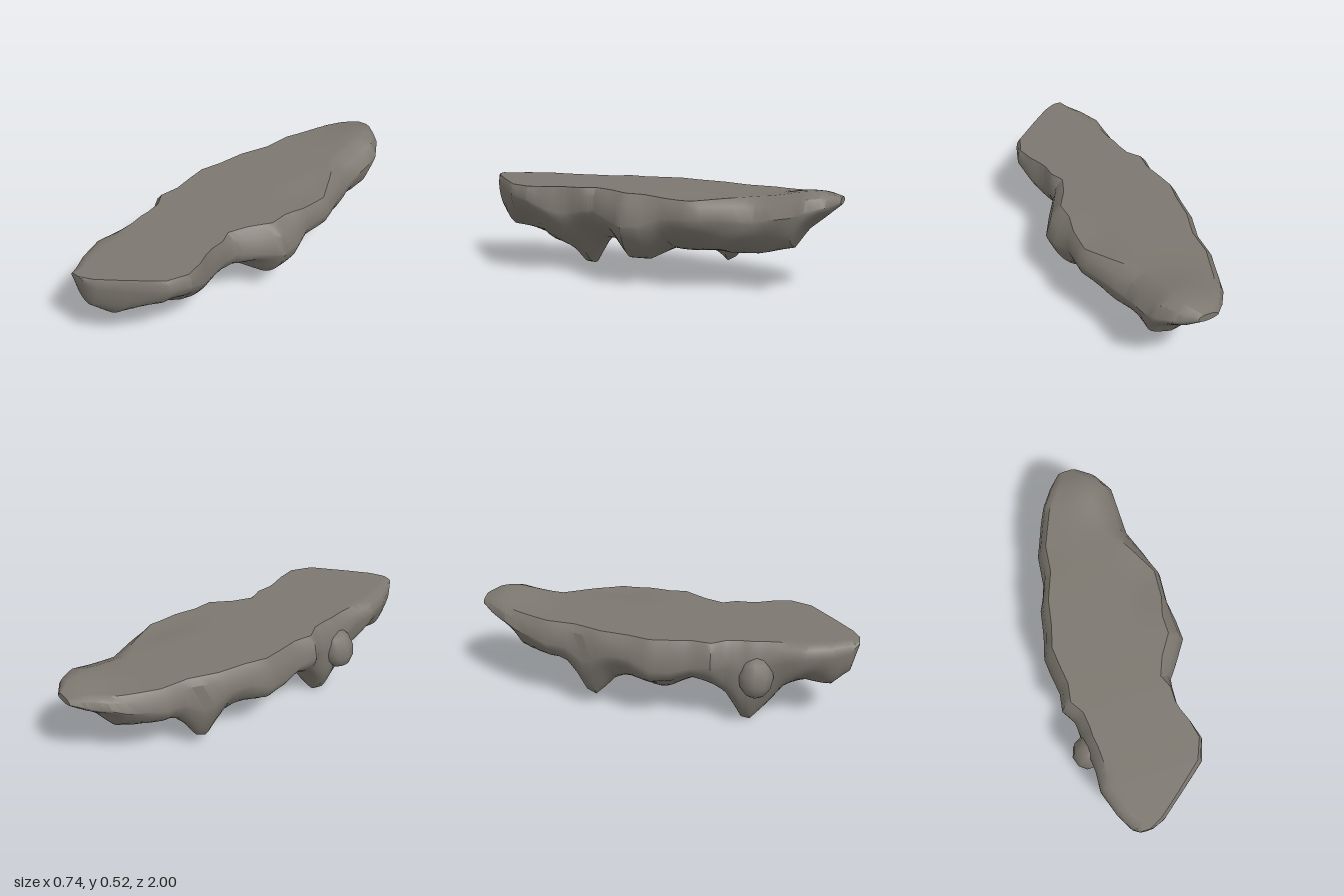
import * as THREE from 'three';
import { toCreasedNormals } from 'three/addons/utils/BufferGeometryUtils.js';

const TOP = 0.49;

// Stations along the rock: z, widest left x, plateau right x, widest right x, lowest x, lowest y, shoulder y
const stations = [
  [0.995, -0.17, -0.12, -0.10, -0.14, 0.46, 0.48],
  [0.96, -0.20, -0.05, -0.03, -0.11, 0.30, 0.45],
  [0.87, -0.25, 0.06, 0.08, -0.07, 0.215, 0.44],
  [0.74, -0.29, 0.21, 0.235, -0.03, 0.215, 0.44],
  [0.63, -0.285, 0.255, 0.275, -0.09, 0.185, 0.42],
  [0.53, -0.29, 0.235, 0.25, -0.17, 0.085, 0.37],
  [0.465, -0.30, 0.21, 0.225, -0.18, 0.006, 0.35],
  [0.42, -0.30, 0.20, 0.215, -0.17, 0.006, 0.35],
  [0.34, -0.31, 0.20, 0.22, -0.13, 0.13, 0.37],
  [0.27, -0.355, 0.17, 0.23, -0.05, 0.19, 0.38],
  [0.17, -0.34, 0.21, 0.30, 0.07, 0.215, 0.36],
  [0.06, -0.355, 0.28, 0.37, 0.18, 0.14, 0.33],
  [-0.04, -0.365, 0.28, 0.365, 0.17, 0.135, 0.34],
  [-0.15, -0.335, 0.31, 0.345, 0.06, 0.185, 0.38],
  [-0.30, -0.31, 0.32, 0.355, 0.02, 0.18, 0.39],
  [-0.45, -0.255, 0.24, 0.31, 0.05, 0.175, 0.39],
  [-0.60, -0.24, 0.15, 0.26, 0.09, 0.195, 0.38],
  [-0.78, -0.17, 0.14, 0.255, 0.10, 0.235, 0.41],
  [-0.85, -0.135, 0.14, 0.25, 0.10, 0.335, 0.44],
  [-0.94, -0.07, 0.12, 0.19, 0.08, 0.41, 0.46],
  [-1.0, -0.01, 0.07, 0.10, 0.05, 0.46, 0.475],
];

// Hanging nubs: x, z, depth, radius
const nubs = [[-0.2, -0.365, 0.18, 0.09], [-0.15, -0.02, 0.05, 0.08]];
const bell = (d, r) => Math.exp(-(d * d) / (r * r));

// Height of the upper face: flat, with a low dome at the back and a slight dip on one flank
function topY(x, z) {
  const dome = 0.04 * bell(x - 0.11, 0.17) * bell(z + 0.87, 0.17);
  const dip = 0.014 * bell(z + 0.27, 0.16) * THREE.MathUtils.smoothstep(x, 0.12, 0.22);
  const tip = 0.012 * Math.max(0, (-z - 0.92) / 0.08);
  return TOP + dome - dip - tip;
}

// One closed ring: upper face from right to left, then down and around the underside
function ring([z, wl, tr, wr, bx, by, shoulder]) {
  const pts = [];
  const tl = wl + Math.min(0.05, (tr - wl) * 0.3);
  const rounded = (t, w) => {
    const y = topY(t, z);
    pts.push([t + (w - t) * 0.65, y - (y - shoulder) * 0.35, z]);
  };
  for (let i = 0; i <= 12; i++) {
    const x = tr + (tl - tr) * i / 12;
    pts.push([x, topY(x, z), z]);
  }
  rounded(tl, wl);
  const sharpLeft = 1 + 0.3 * bell(z + 0.75, 0.25);
  const sharpRight = 1.1 + 0.35 * bell(z - 0.44, 0.16) + 0.25 * bell(z - 0.74, 0.12) + 0.15 * bell(z, 0.12);
  const n = 30;
  for (let i = 0; i <= n; i++) {
    const a = Math.PI * i / n;
    const c = Math.cos(a);
    const s = Math.max(0, Math.sin(a));
    const sharp = c > 0 ? sharpLeft : sharpRight;
    let x = bx + ((c > 0 ? wl : wr) - bx) * Math.pow(Math.abs(c), sharp);
    let y = shoulder - (shoulder - by) * Math.pow(s, sharp);
    // Uneven weathering fades out toward the lowest line and the ends
    const fade = s * Math.abs(c) * 2 * Math.min(1, (1 - Math.abs(z)) * 5);
    y += 0.012 * fade * Math.sin(z * 17 + x * 21);
    x += 0.01 * fade * Math.sin(z * 23 + a * 3);
    for (const [nx, nz, depth, r] of nubs) y -= depth * bell(Math.hypot(x - nx, z - nz), r);
    pts.push([x, Math.max(0, y), z]);
  }
  rounded(tr, wr);
  return pts;
}

// Loft the rings from front to back and close both ends
function rockGeometry() {
  const rings = [];
  const steps = 3;
  stations.forEach((s, i) => {
    const next = stations[i + 1];
    if (!next) return rings.push(ring(s));
    for (let k = 0; k < steps; k++) rings.push(ring(s.map((v, q) => v + (next[q] - v) * k / steps)));
  });
  const m = rings[0].length;
  const pos = rings.flat(2);
  const index = [];
  for (let i = 0; i < rings.length - 1; i++) {
    for (let j = 0; j < m; j++) {
      const a = i * m + j;
      const b = i * m + (j + 1) % m;
      index.push(a, a + m, b, b, a + m, b + m);
    }
  }
  const last = (rings.length - 1) * m;
  for (let j = 1; j < m - 1; j++) {
    index.push(0, j, j + 1);
    index.push(last, last + j + 1, last + j);
  }
  const geo = new THREE.BufferGeometry();
  geo.setAttribute('position', new THREE.Float32BufferAttribute(pos, 3));
  geo.setIndex(index);
  return toCreasedNormals(geo, 0.6);
}

export function createModel() {
  const group = new THREE.Group();
  group.name = 'rockLedge';
  const stone = new THREE.MeshStandardMaterial({ color: 0x7c776f });
  stone.name = 'warm grey stone';

  // Main slab with its flat top and lumpy underside
  const slab = new THREE.Mesh(rockGeometry(), stone);
  slab.name = 'rockSlab';
  group.add(slab);

  // Boulder bulging from the right-hand flank, leaning outward at its foot
  const knob = new THREE.Mesh(new THREE.SphereGeometry(1, 9, 6), stone);
  knob.name = 'sideBoulder';
  knob.scale.set(0.085, 0.115, 0.09);
  knob.position.set(-0.278, 0.31, 0.495);
  knob.rotation.z = -0.4;
  group.add(knob);

  return group;
}
